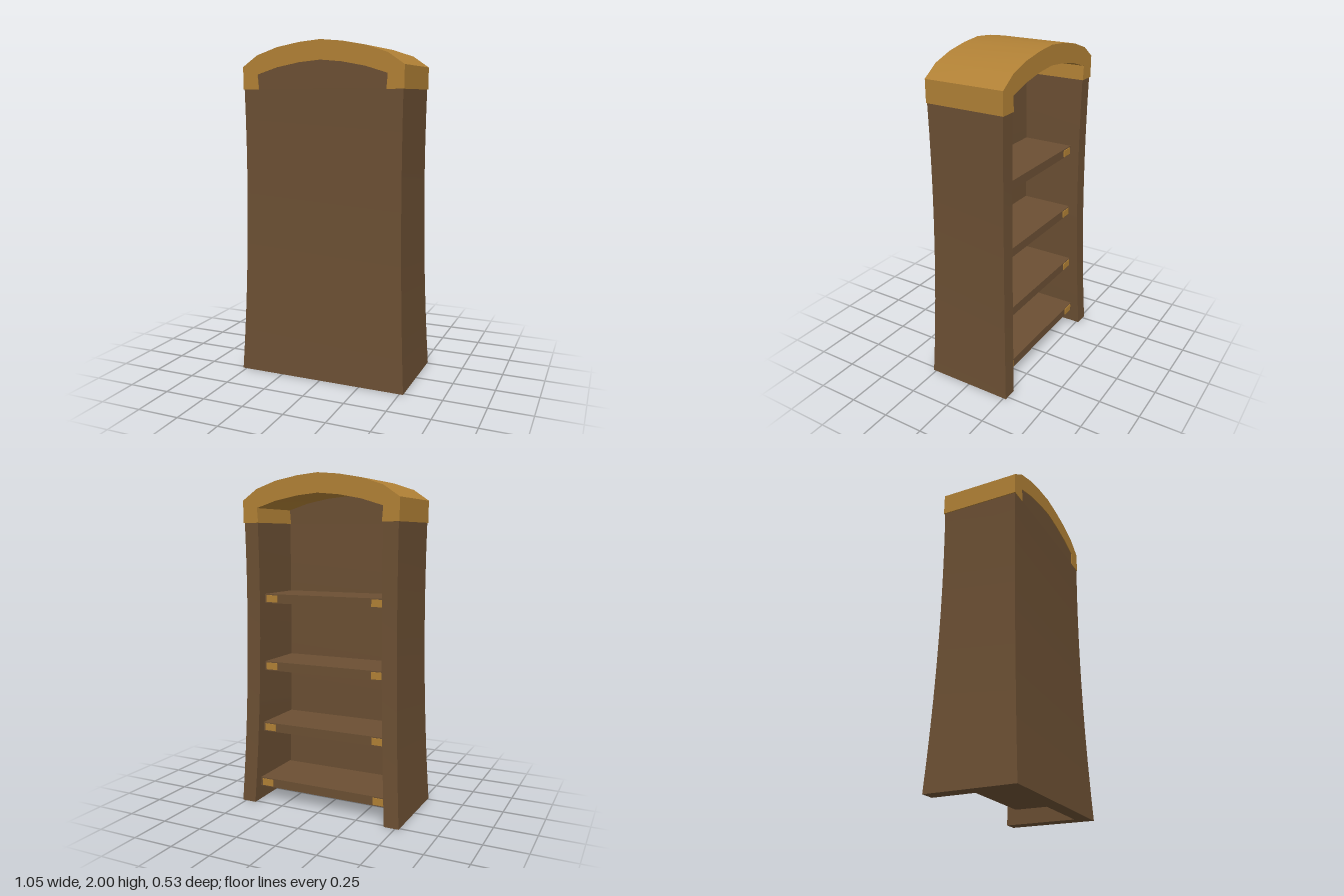
import * as THREE from 'three';
import { toCreasedNormals } from 'three/addons/utils/BufferGeometryUtils.js';

const wood = new THREE.MeshStandardMaterial({ color: 0x6b4f33 });
const gold = new THREE.MeshStandardMaterial({ color: 0xb08035 });

// Outward flare of the case at height y
const flare = (y) => 0.038 * (1 - y / 1.3) ** 2;

// Mirrors a half profile (listed from +x towards the middle) and appends it
const mirrored = (half) => [
  ...half,
  ...half.filter(([x]) => x > 0).reverse().map(([x, y]) => [-x, y]),
];
const shapeOf = (points) => new THREE.Shape(points.map(([x, y]) => new THREE.Vector2(x, y)));

function extrude(points, depth, steps = 1) {
  return new THREE.ExtrudeGeometry(shapeOf(points), { depth, steps, bevelEnabled: false });
}

function add(parent, name, geometry, material, x = 0, y = 0, z = 0) {
  const mesh = new THREE.Mesh(geometry, material);
  mesh.name = name;
  mesh.position.set(x, y, z);
  parent.add(mesh);
  return mesh;
}

export function createModel() {
  const model = new THREE.Group();
  model.name = 'bookcase';

  // Case: U-shaped plan (two sides and a closed panel), flared towards the floor
  const plan = mirrored([[0.395, -0.145], [0.395, 0.235], [0.485, 0.235], [0.485, -0.235]].reverse());
  const caseGeometry = extrude(plan, 1.73, 10);
  caseGeometry.rotateX(-Math.PI / 2);
  const p = caseGeometry.attributes.position;
  for (let i = 0; i < p.count; i++) {
    const d = flare(p.getY(i));
    p.setX(i, p.getX(i) + Math.sign(p.getX(i)) * d);
    p.setZ(i, p.getZ(i) + Math.sign(p.getZ(i)) * d * 0.85);
  }
  add(model, 'case', toCreasedNormals(caseGeometry, 0.5), wood);

  // Upper panel filling the arch
  const panel = mirrored([[0.41, 1.72], [0.41, 1.83], [0.27, 1.87], [0.13, 1.895], [0, 1.91]]);
  add(model, 'archPanel', extrude(panel, 0.089), wood, 0, 0, 0.148);

  // Arched top with short legs over the sides
  const outer = [[0.495, 1.725], [0.495, 1.855], [0.4, 1.92], [0.27, 1.963], [0.13, 1.988], [0, 2]];
  const inner = [[0.393, 1.725], [0.4, 1.81], [0.27, 1.85], [0.13, 1.876], [0, 1.888]];
  const cap = [...mirrored(outer), ...mirrored(inner).reverse()];
  add(model, 'archedTop', toCreasedNormals(extrude(cap, 0.485), 0.5), gold, 0, 0, -0.244);

  // Shelves with a gilt fitting at each end of the open edge
  const thickness = 0.055;
  [0.145, 0.5, 0.885, 1.3].forEach((top) => {
    const shelf = new THREE.Group();
    shelf.name = 'shelf';
    const d = flare(top);
    const edge = -0.175 - d;
    const depth = 0.16 - edge;
    const y = top - thickness / 2;
    add(shelf, 'board', new THREE.BoxGeometry(0.8 + 2 * d, thickness, depth), wood, 0, y, edge + depth / 2);
    for (const side of [-1, 1]) {
      add(shelf, 'fitting', new THREE.BoxGeometry(0.075, 0.042, 0.02), gold, side * (0.345 + d), y, edge + 0.005);
    }
    model.add(shelf);
  });

  return model;
}
